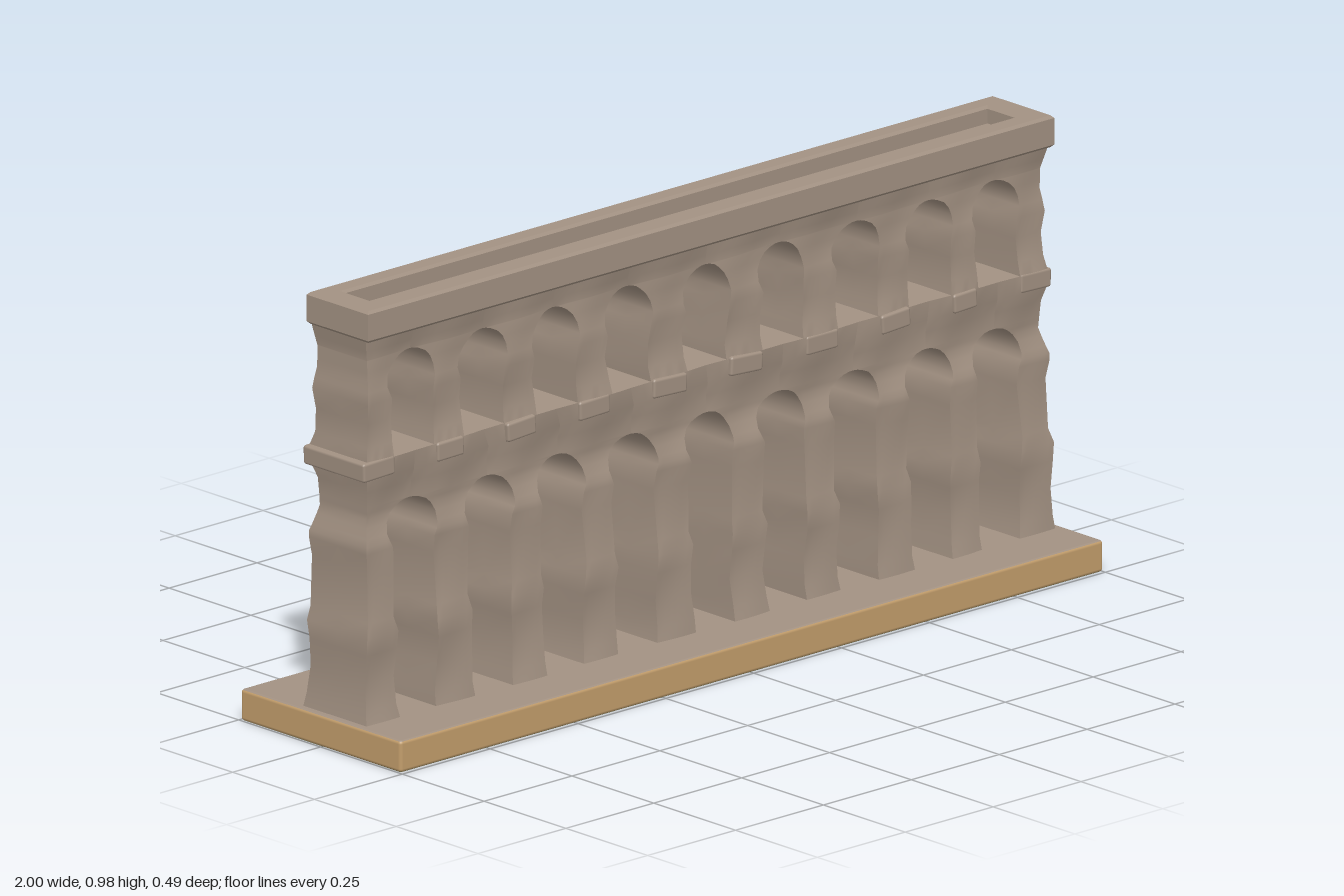
import * as THREE from 'three';
import { toCreasedNormals } from 'three/addons/utils/BufferGeometryUtils.js';
import { RoundedBoxGeometry } from 'three/addons/geometries/RoundedBoxGeometry.js';

const stone = new THREE.MeshStandardMaterial({ color: 0xa29182, name: 'stone' });
const tan = new THREE.MeshStandardMaterial({ color: 0xc29d6b, name: 'tanEdge' });
const green = new THREE.MeshStandardMaterial({ color: 0x8a9058, name: 'greenUnderside' });

// Opening centres of the nine bays, lower and upper tier
const lowerX = [-0.835, -0.62, -0.415, -0.21, 0.005, 0.215, 0.42, 0.63, 0.825];
const upperX = [-0.835, -0.635, -0.43, -0.22, 0, 0.215, 0.43, 0.635, 0.825];
const SILL = 0.64;

// Wall thickness by height: [y, front z, back z]
const profile = [
  [0.07, 0.123, -0.068], [0.1, 0.118, -0.065], [0.16, 0.113, -0.062], [0.22, 0.117, -0.062],
  [0.26, 0.12, -0.064], [0.29, 0.112, -0.059], [0.4, 0.108, -0.057], [0.45, 0.115, -0.066],
  [0.48, 0.105, -0.059], [0.51, 0.097, -0.053], [0.57, 0.1, -0.054], [0.6, 0.108, -0.063],
  [0.64, 0.109, -0.064], [0.67, 0.103, -0.052], [0.72, 0.101, -0.053], [0.77, 0.109, -0.06],
  [0.81, 0.101, -0.054], [0.86, 0.1, -0.055], [0.91, 0.11, -0.062],
];

function thickness(y, col) {
  let i = 1;
  while (i < profile.length - 1 && profile[i][0] < y) i++;
  const a = profile[i - 1], b = profile[i];
  return THREE.MathUtils.mapLinear(y, a[0], b[0], a[col], b[col]);
}

// Rows [y, half opening width] up to an arch crown
function archRows(spring, crown, half) {
  return [0, 20, 38, 54, 68, 80, 90].map((deg) => {
    const t = THREE.MathUtils.degToRad(deg);
    return [spring + (crown - spring) * Math.sin(t), deg === 90 ? 0 : half * Math.cos(t)];
  });
}

const rows = [
  [0.07, 0.054], [0.1, 0.057], [0.16, 0.059], [0.22, 0.058], [0.26, 0.055], [0.29, 0.061],
  [0.4, 0.061], [0.44, 0.06], [0.455, 0.066],
  ...archRows(0.47, 0.535, 0.069),
  [0.57, 0], [0.6, 0], [SILL, 0], [SILL, 0.058], [0.67, 0.06], [0.72, 0.063], [0.765, 0.06],
  ...archRows(0.79, 0.86, 0.067),
  [0.88, 0], [0.91, 0],
];

const wobble = (x, y) => 0.003 * Math.sin(11 * x + 17 * y) + 0.002 * Math.sin(31 * x - 23 * y);

// One pier and its share of the arches on either side, over the full height
function makePier(k) {
  const n = rows.length - 1;
  const geo = new THREE.BoxGeometry(1, 1, 1, 6, n, 2);
  const p = geo.attributes.position;
  for (let i = 0; i < p.count; i++) {
    const r = Math.round((p.getY(i) + 0.5) * n);
    const [y, half] = rows[r];
    const centres = y < SILL ? lowerX : upperX;
    const end = 0.955 + (thickness(y, 1) - 0.1);
    const rough = half > 0.03 ? 0.003 * Math.sin(k * 7.3 + y * 37) : 0;
    const left = k === 0 ? -end - 0.005 : centres[k - 1] + half + rough;
    const right = k === 9 ? end : centres[k] - half + rough;
    const x = THREE.MathUtils.lerp(left, right, p.getX(i) + 0.5);
    const front = thickness(y, 1) + wobble(x, y);
    const back = thickness(y, 2) + wobble(x + 2, y);
    p.setXYZ(i, x, y, THREE.MathUtils.lerp(back, front, p.getZ(i) + 0.5));
  }
  const mesh = new THREE.Mesh(toCreasedNormals(geo, 0.6), stone);
  mesh.name = 'pier' + (k + 1);
  return mesh;
}

// Projecting ledge blocks at the foot of each upper pier, wrapping round the two ends
function makeLedges() {
  const group = new THREE.Group();
  group.name = 'ledgeBlocks';
  const addBlock = (name, left, right, z, depth, tilt) => {
    const block = new THREE.Mesh(
      new RoundedBoxGeometry(right - left, 0.042, depth, 1, 0.006), stone);
    block.position.set((left + right) / 2, 0.621, z);
    block.rotation.z = tilt;
    block.name = name;
    group.add(block);
  };
  addBlock('rightEndLedge', -0.983, -0.893, 0.021, 0.188, 0.03);
  addBlock('leftEndLedge', 0.887, 0.974, 0.021, 0.188, -0.03);
  for (let k = 1; k < 9; k++) {
    const left = upperX[k - 1] + 0.062, right = upperX[k] - 0.062;
    addBlock('frontLedge', left, right, 0.099, 0.034, 0.06 * Math.sin(k * 5.1 + 4));
    addBlock('backLedge', left, right, -0.056, 0.034, 0.06 * Math.sin(k * 5.1 - 2.2));
  }
  return group;
}

function rect(shape, x, z0, z1) {
  return shape.moveTo(-x, -z1).lineTo(x, -z1).lineTo(x, -z0).lineTo(-x, -z0).closePath();
}

// Top cornice with the open water channel
function makeChannel() {
  const group = new THREE.Group();
  group.name = 'waterChannel';
  const shape = rect(new THREE.Shape(), 0.97, -0.062, 0.114);
  shape.holes.push(rect(new THREE.Path(), 0.922, -0.026, 0.076));
  const geo = new THREE.ExtrudeGeometry(shape, {
    depth: 0.058, bevelEnabled: true, bevelSize: 0.006, bevelThickness: 0.006, bevelSegments: 1,
  });
  geo.rotateX(-Math.PI / 2);
  const rim = new THREE.Mesh(geo, stone);
  rim.position.y = 0.911;
  rim.name = 'channelRim';
  const floor = new THREE.Mesh(new THREE.BoxGeometry(1.87, 0.03, 0.125), stone);
  floor.position.set(0, 0.922, 0.025);
  floor.name = 'channelFloor';
  group.add(rim, floor);
  return group;
}

export function createModel() {
  const model = new THREE.Group();
  model.name = 'aqueduct';

  // Base slab: tan edges, stone top, green underside
  const base = new THREE.Mesh(
    new RoundedBoxGeometry(2, 0.07, 0.49, 2, 0.008), [tan, tan, stone, green, tan, tan]);
  base.position.y = 0.035;
  base.name = 'base';
  model.add(base);

  const arcade = new THREE.Group();
  arcade.name = 'arcade';
  for (let k = 0; k < 10; k++) arcade.add(makePier(k));
  model.add(arcade, makeLedges(), makeChannel());
  return model;
}
